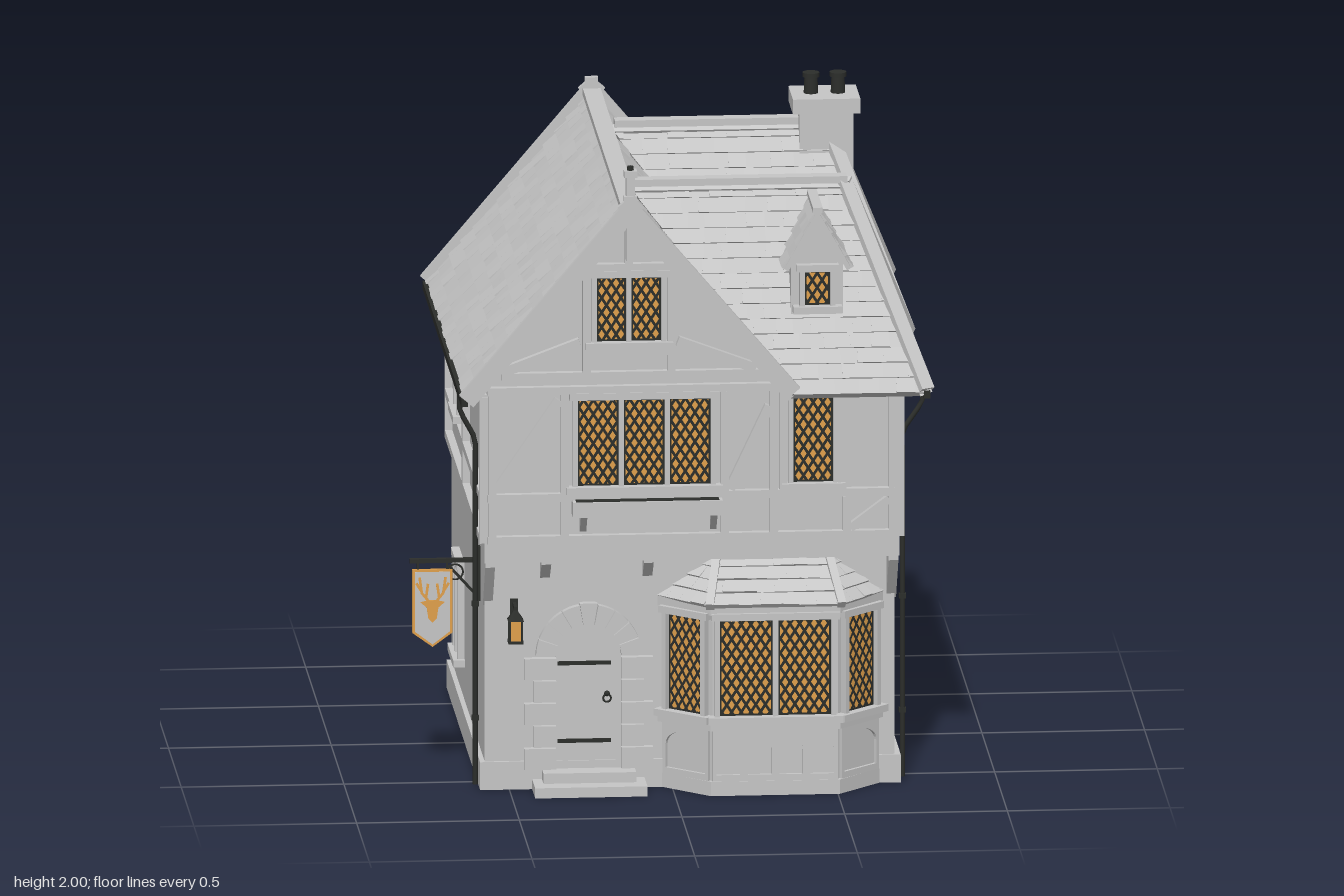
import * as THREE from 'three';
import { mergeGeometries } from 'three/addons/utils/BufferGeometryUtils.js';
import { ConvexGeometry } from 'three/addons/geometries/ConvexGeometry.js';

const mat = (name, color) => Object.assign(new THREE.MeshStandardMaterial({ color }), { name });
const V = (x, y, z) => new THREE.Vector3(x, y, z);
let seed = 7;
const rnd = () => (seed = (seed * 16807) % 2147483647) / 2147483647;

export function createModel() {
  const stone = mat('pale stone', 0xc6c6c6), iron = mat('dark iron', 0x2c2e2b), amber = mat('amber glass', 0xe0a04c);
  const root = new THREE.Group();
  root.name = 'house';

  // ---- helpers ----
  const add = (p, name, geo, m = stone, x = 0, y = 0, z = 0) => {
    const o = new THREE.Mesh(geo, m);
    o.name = name; o.position.set(x, y, z); p.add(o);
    return o;
  };
  const box = (p, name, x0, x1, y0, y1, z0, z1, m) =>
    add(p, name, new THREE.BoxGeometry(x1 - x0, y1 - y0, z1 - z0), m, (x0 + x1) / 2, (y0 + y1) / 2, (z0 + z1) / 2);
  // straight bar between two points
  const bar = (p, name, a, b, w, h, m) => {
    const o = new THREE.Mesh(new THREE.BoxGeometry(w, h, a.distanceTo(b)), m || stone);
    o.name = name; o.position.copy(a).lerp(b, 0.5); o.lookAt(b); p.add(o);
  };
  const poly = pts => new THREE.Shape(pts.map(q => new THREE.Vector2(...q)));
  const ext = (s, depth) => new THREE.ExtrudeGeometry(s, { depth, bevelEnabled: false, curveSegments: 8 });
  // plan outline given in x,z and raised from y0 to y1
  const raise = (p, name, pts, y0, y1, hole) => {
    const s = poly(pts.map(([x, z]) => [x, -z]));
    if (hole) s.holes.push(poly(hole.map(([x, z]) => [x, -z])));
    return add(p, name, ext(s, y1 - y0).rotateX(-Math.PI / 2), stone, 0, y0, 0);
  };
  const rect = (x0, x1, z0, z1) => [[x0, z1], [x1, z1], [x1, z0], [x0, z0]];
  const face = (name, x, z, ry) => {
    const g = new THREE.Group();
    g.name = name; g.position.set(x, 0, z); g.rotation.y = ry; root.add(g);
    return g;
  };
  // timber drawn on a wall face
  const timbers = (wall, list) => list.forEach(([x0, y0, x1, y1, w = 0.025]) =>
    bar(wall, 'timber', V(x0, y0, 0.008), V(x1, y1, 0.008), x0 === x1 ? w : 0.03, x0 === x1 ? 0.03 : w));

  // leaded lattice clipped to a w by h light
  const lattice = (w, h) => {
    const out = [], m = 1.55, step = 0.046;
    for (const s of [1, -1]) for (let c = -h / 2 - m * w / 2 + step / 2; c < h / 2 + m * w / 2; c += step) {
      const xs = [(-h / 2 - c) / (s * m), (h / 2 - c) / (s * m)].sort((a, b) => a - b);
      const a = Math.max(-w / 2, xs[0]), b = Math.min(w / 2, xs[1]);
      if (b - a < 0.004) continue;
      out.push(new THREE.PlaneGeometry((b - a) * Math.hypot(1, m), 0.0085)
        .rotateZ(Math.atan(s * m)).translate((a + b) / 2, c + s * m * (a + b) / 2, 0));
    }
    for (const s of [1, -1]) {
      out.push(new THREE.PlaneGeometry(0.006, h).translate(s * (w / 2 - 0.003), 0, 0));
      out.push(new THREE.PlaneGeometry(w, 0.006).translate(0, s * (h / 2 - 0.003), 0));
    }
    return mergeGeometries(out);
  };
  const windowAt = (wall, u, y0, y1, w, lights) => {
    const g = new THREE.Group(), f = 0.016, h = y1 - y0, lw = (w - f) / lights;
    g.name = 'window'; g.position.set(u, (y0 + y1) / 2, 0); wall.add(g);
    box(g, 'pane', -w / 2 + f, w / 2 - f, -h / 2 + f, h / 2 - f, -0.065, 0.003, amber);
    for (let i = 0; i <= lights; i++) {
      const x = -w / 2 + f / 2 + i * lw;
      box(g, 'mullion', x - f / 2, x + f / 2, -h / 2, h / 2, -0.005, 0.022);
      if (i < lights) add(g, 'lattice', lattice(lw - f, h - 2 * f), iron, x + lw / 2, 0, 0.006);
    }
    box(g, 'lintel', -w / 2 - 0.01, w / 2 + 0.01, h / 2 - f, h / 2 + 0.006, -0.005, 0.026);
    box(g, 'sill', -w / 2 - 0.02, w / 2 + 0.02, -h / 2 - 0.006, -h / 2 + f, -0.005, 0.036);
  };

  // tiled roof plane: eave left, eave right, top right, top left, seen from outside
  const slope = (name, A, B, C, D, rows, tw = 0.065, slab = 0.03) => {
    const e = B.clone().sub(A).normalize(), n = e.clone().cross(D.clone().sub(A)).normalize(), pos = [];
    const lo = v => D.clone().sub(A).dot(e) * v, hi = v => B.clone().lerp(C, v).sub(A).dot(e);
    const pt = (s, v, k) => A.clone().lerp(D, v)
      .addScaledVector(e, Math.min(Math.max(s, lo(v)), hi(v)) - lo(v)).addScaledVector(n, k);
    for (let i = 0; i < rows; i++) {
      const v0 = i / rows, v1 = (i + 1) / rows, end = Math.max(hi(v0), hi(v1));
      for (let a = Math.min(lo(v0), lo(v1)) - tw * (i % 2 ? 0.5 : 0.1), b; a < end; a = b) {
        b = a + tw * (0.75 + rnd() * 0.5);
        const k = 0.004 + rnd() * 0.007;
        const p = [pt(a, v0, 0), pt(b, v0, 0), pt(b, v0, k), pt(a, v0, k), pt(b, v1, 0.002), pt(a, v1, 0.002)];
        if (p[0].distanceTo(p[1]) + p[4].distanceTo(p[5]) < 1e-4) continue;
        for (const j of [0, 1, 2, 0, 2, 3, 3, 2, 4, 3, 4, 5, 0, 3, 5, 1, 4, 2]) pos.push(p[j].x, p[j].y, p[j].z);
      }
    }
    const g = new THREE.BufferGeometry();
    g.setAttribute('position', new THREE.Float32BufferAttribute(pos, 3));
    g.computeVertexNormals();
    add(root, name + 'Tiles', g);
    add(root, name + 'Slab', new ConvexGeometry([A, B, C, D].flatMap(q => [q, q.clone().addScaledVector(n, -slab)])));
  };

  // ---- walls, open underneath ----
  const L = -0.575, R = 0.685, Bk = -0.695, F = 0.6, J = 0.69;
  raise(root, 'groundFloorWalls', rect(L, R, Bk, F), 0, 0.8, rect(L + 0.06, R - 0.06, Bk + 0.06, F - 0.06));
  raise(root, 'plinth', rect(L - 0.015, R + 0.018, Bk - 0.015, F + 0.01), 0, 0.088, rect(L + 0.055, R - 0.055, Bk + 0.055, F - 0.055));
  box(root, 'upperFloorWalls', L, R, 0.79, 1.29, Bk, J);
  box(root, 'jettyBeam', L - 0.008, R + 0.008, 0.735, 0.8, 0.59, J);
  add(root, 'gableWalls', ext(poly([[L, 1.27], [L, 1.31], [-0.14, 1.81], [0.3, 1.29], [0.3, 1.27]]), J - Bk), stone, 0, 0, Bk);

  const front = face('frontTimbering', 0, J, 0), low = face('frontGroundFloor', 0, F, 0);
  const right = face('rightSide', R, 0, Math.PI / 2), back = face('backSide', 0, Bk, Math.PI), left = face('leftSide', L, 0, -Math.PI / 2);

  // ---- half-timbering ----
  timbers(front, [[L, 0.81, R, 0.81], [L, 0.943, R, 0.943], [L, 1.28, R, 1.28], [-0.53, 1.325, 0.26, 1.325],
    [-0.56, 0.8, -0.56, 1.27], [0.672, 0.8, 0.672, 1.27], [-0.337, 0.8, -0.337, 1.27], [0.155, 0.8, 0.155, 1.27],
    [0.305, 0.8, 0.305, 1.27], [0.335, 0.95, 0.335, 1.27], [0.515, 0.95, 0.515, 1.27],
    [-0.545, 0.97, -0.355, 1.25, 0.03], [0.17, 0.96, 0.292, 1.22, 0.03], [0.54, 0.83, 0.66, 0.92], [0.53, 0.82, 0.53, 0.93],
    [-0.27, 1.33, -0.27, 1.66], [-0.01, 1.33, -0.01, 1.66], [-0.29, 1.665, 0.01, 1.665], [-0.27, 1.4, -0.01, 1.4],
    [-0.14, 1.67, -0.14, 1.8], [-0.53, 1.34, -0.29, 1.43, 0.03], [0.25, 1.34, 0.01, 1.43, 0.03]]);
  const side = [[-0.69, 0.81, 0.69, 0.81], [-0.69, 0.943, 0.69, 0.943], [-0.69, 1.255, 0.69, 1.255],
    [0, 0.8, 0, 1.26], [-0.68, 0.8, -0.68, 1.26], [0.68, 0.8, 0.68, 1.26]];
  timbers(right, side);
  timbers(left, side);
  timbers(back, [[-R, 0.81, -L, 0.81], [-R, 0.943, -L, 0.943], [-R, 1.265, -L, 1.265], [-0.672, 0.8, -0.672, 1.27],
    [0.56, 0.8, 0.56, 1.27], [-0.05, 0.8, -0.05, 1.27], [0.14, 1.27, 0.14, 1.8]]);

  // ---- windows ----
  windowAt(front, -0.0925, 0.96, 1.265, 0.44, 3);
  windowAt(front, 0.427, 0.96, 1.26, 0.155, 1);
  windowAt(front, -0.14, 1.415, 1.65, 0.23, 2);
  windowAt(right, -0.29, 0.965, 1.235, 0.16, 1);
  windowAt(left, -0.29, 0.965, 1.235, 0.16, 1);
  windowAt(right, 0.272, 0.2, 0.515, 0.19, 2);
  windowAt(left, -0.29, 0.2, 0.515, 0.19, 2);
  for (const u of [-0.49, 0.31]) windowAt(back, u, 0.965, 1.235, 0.16, 1);
  for (const u of [-0.42, 0.3]) windowAt(back, u, 0.2, 0.515, 0.19, 2);

  // ---- planter under the wide window, jetty corbels ----
  box(front, 'planter', -0.315, 0.145, 0.888, 0.935, 0, 0.06);
  box(front, 'planterSoil', -0.305, 0.135, 0.93, 0.937, 0.022, 0.053, iron);
  for (const x of [-0.29, 0.11]) add(front, 'planterBracket',
    new ConvexGeometry([x, x + 0.02].flatMap(q => [V(q, 0.83, 0), V(q, 0.89, 0), V(q, 0.89, 0.05)])));
  const corbel = (x, w, y0, y1, d) => add(low, 'corbel', new ConvexGeometry(
    [x - w / 2, x + w / 2].flatMap(q => [V(q, y0, -0.01), V(q, y1, -0.01), V(q, y1, d), V(q, y1 - 0.02, d)])));
  for (const x of [-0.39, -0.075]) corbel(x, 0.03, 0.655, 0.74, 0.06);
  for (const x of [-0.565, 0.675]) corbel(x, 0.03, 0.58, 0.74, 0.085);

  // ---- main roof, two hipped cross roofs ----
  const E = 1.265, H = 1.858, Z = 0.76;
  slope('mainLeftRoof', V(-0.645, E, -Z), V(-0.645, E, Z), V(-0.14, H, Z), V(-0.14, H, -Z), 14);
  slope('mainRightRoof', V(0.365, E, Z), V(0.365, E, -Z), V(-0.14, H, -Z), V(-0.14, H, Z), 14);
  bar(root, 'mainRidge', V(-0.14, H + 0.001, -0.77), V(-0.14, H + 0.001, 0.77), 0.055, 0.022);
  for (const c of [0.38, -0.38]) {
    const T = 1.848, a = c + 0.38, b = c - 0.38;
    slope('crossFrontRoof', V(0.35, E, a), V(0.78, E, a), V(0.545, T, c), V(-0.12, T, c), 14);
    slope('crossBackRoof', V(0.78, E, b), V(0.35, E, b), V(-0.12, T, c), V(0.545, T, c), 14);
    slope('hipRoof', V(0.78, E, a), V(0.78, E, b), V(0.545, T, c - 0.003), V(0.545, T, c + 0.003), 14);
    bar(root, 'crossRidge', V(-0.1, T + 0.006, c), V(0.555, T + 0.006, c), 0.045, 0.022);
    for (const z of [a, b]) bar(root, 'hipCap', V(0.545, T + 0.006, c), V(0.772, E + 0.01, z), 0.045, 0.02);
  }
  for (const z of [0.766, -0.766]) {
    bar(root, 'bargeBoard', V(-0.12, 1.888, z), V(-0.645, 1.268, z), 0.018, 0.055);
    bar(root, 'bargeBoard', V(-0.16, 1.888, z), V(0.36, 1.273, z), 0.018, 0.055);
    box(root, 'apexBlock', -0.16, -0.12, 1.85, 1.905, z - 0.01, z + 0.01);
  }
  box(root, 'finial', -0.153, -0.127, 1.7, 1.985, 0.745, 0.771);
  box(root, 'finialCap', -0.16, -0.12, 1.965, 1.985, 0.738, 0.778);
  add(root, 'finialTip', new THREE.CylinderGeometry(0.009, 0.012, 0.02, 8), iron, -0.14, 1.988, 0.758);

  // ---- dormer ----
  add(root, 'dormerWall', ext(poly([[0.365, 1.45], [0.525, 1.45], [0.525, 1.65], [0.445, 1.785], [0.365, 1.65]]), 0.22), stone, 0, 0, 0.4);
  windowAt(face('dormerFront', 0.445, 0.62, 0), 0, 1.5, 1.64, 0.11, 1);
  slope('dormerRightRoof', V(0.548, 1.635, 0.645), V(0.548, 1.635, 0.52), V(0.445, 1.818, 0.4), V(0.445, 1.818, 0.645), 5, 0.05, 0.015);
  slope('dormerLeftRoof', V(0.342, 1.635, 0.52), V(0.342, 1.635, 0.645), V(0.445, 1.818, 0.645), V(0.445, 1.818, 0.4), 5, 0.05, 0.015);
  bar(root, 'dormerRidge', V(0.445, 1.82, 0.41), V(0.445, 1.82, 0.65), 0.03, 0.016);

  // ---- chimney ----
  box(root, 'chimneyStack', 0.465, 0.63, 1.3, 1.89, -0.465, -0.32);
  box(root, 'chimneyCap', 0.443, 0.65, 1.888, 1.935, -0.48, -0.3);
  for (const x of [0.505, 0.588]) {
    add(root, 'chimneyPot', new THREE.CylinderGeometry(0.02, 0.023, 0.07, 14), iron, x, 1.96, -0.388);
    add(root, 'potRim', new THREE.CylinderGeometry(0.026, 0.026, 0.014, 14), iron, x, 1.993, -0.388);
  }

  // ---- gutters and downpipes ----
  for (const [x, w] of [[0.772, 0.711], [-0.65, -0.602]]) {
    bar(root, 'gutter', V(x, 1.26, -0.765), V(x, 1.26, 0.765), 0.02, 0.024, iron);
    const path = new THREE.CatmullRomCurve3([V(x, 1.26, 0.57), V(x, 1.19, 0.57), V(w, 1.1, 0.57), V(w, 1.0, 0.57), V(w, 0.01, 0.57)], false, 'catmullrom', 0.1);
    add(root, 'downpipe', new THREE.TubeGeometry(path, 40, 0.008, 8), iron);
    for (const y of [0.22, 0.58]) box(root, 'pipeClip', w - 0.011, w + 0.011, y - 0.007, y + 0.007, 0.559, 0.581, iron);
  }

  // ---- bay window ----
  const plan = (o = 0) => [[-0.03 - o, 0.58], [-0.03 - o, 0.6], [0.115 - o * 0.5, 0.73 + o], [0.5 + o * 0.5, 0.73 + o], [0.635 + o, 0.6], [0.635 + o, 0.58]];
  raise(root, 'bayBody', plan(), 0, 0.6);
  raise(root, 'bayPlinth', plan(0.012), 0, 0.045);
  raise(root, 'baySill', plan(0.014), 0.205, 0.235);
  raise(root, 'bayCornice', plan(0.014), 0.57, 0.605);
  // panel with pointed arch openings
  const arches = (wall, w, count) => {
    const s = poly([[-w / 2, 0.045], [w / 2, 0.045], [w / 2, 0.205], [-w / 2, 0.205]]), c = w / count;
    for (let i = 0; i < count; i++) {
      const h = new THREE.Path(), x = -w / 2 + c * (i + 0.5), r = c / 2 - 0.012;
      h.moveTo(x - r, 0.065).lineTo(x + r, 0.065).lineTo(x + r, 0.14);
      h.quadraticCurveTo(x + r, 0.175, x, 0.192).quadraticCurveTo(x - r, 0.175, x - r, 0.14);
      s.holes.push(h);
    }
    add(wall, 'archPanel', ext(s, 0.01));
  };
  const bays = [['bayFront', 0.3075, 0.73, 0, 0.385, 2, 4], ['bayLeftFace', 0.5675, 0.665, 0.766, 0.17, 1, 1], ['bayRightFace', 0.0425, 0.665, -0.731, 0.175, 1, 1]];
  for (const [name, x, z, ry, w, lights, n] of bays) {
    const g = face(name, x, z, ry);
    windowAt(g, 0, 0.235, 0.57, w - 0.01, lights);
    arches(g, w, n);
  }
  const e = [V(-0.05, 0.6, 0.59), V(0.105, 0.6, 0.757), V(0.51, 0.6, 0.757), V(0.655, 0.6, 0.59)], t = [V(0.14, 0.725, 0.59), V(0.48, 0.725, 0.59)];
  add(root, 'bayRoofCore', new ConvexGeometry([...e, ...t]));
  slope('bayFrontRoof', e[1], e[2], t[1], t[0], 4, 0.055, 0.006);
  slope('bayLeftRoof', e[2], e[3], t[1].clone().add(V(0.003, 0, 0)), t[1], 4, 0.055, 0.006);
  slope('bayRightRoof', e[0], e[1], t[0], t[0].clone().add(V(-0.003, 0, 0)), 4, 0.055, 0.006);
  bar(root, 'bayHipCap', e[1], t[0], 0.025, 0.025);
  bar(root, 'bayHipCap', e[2], t[1], 0.025, 0.025);
  box(root, 'bayFlashing', 0.13, 0.49, 0.712, 0.732, 0.59, 0.612);

  // ---- door, stone surround and steps ----
  const dx = -0.257, r0 = 0.1, r1 = 0.162, sp = 0.42;
  const door = poly([[dx - r0, 0.03], [dx + r0, 0.03], [dx + r0, sp]]);
  door.absarc(dx, sp, r0, 0, Math.PI, false);
  add(low, 'door', ext(door, 0.075), stone, 0, 0, -0.07);
  for (const y of [0.15, 0.395]) box(low, 'doorStrap', dx - 0.095, dx + 0.07, y - 0.006, y + 0.006, 0.004, 0.01, iron);
  add(low, 'doorKnob', new THREE.SphereGeometry(0.009, 10, 8), iron, -0.2, 0.298, 0.01);
  add(low, 'doorRing', new THREE.TorusGeometry(0.012, 0.003, 6, 14), iron, -0.2, 0.284, 0.012);
  for (let i = 0; i < 9; i++) {
    const a = i * Math.PI / 9 + 0.01, b = (i + 1) * Math.PI / 9 - 0.01, s = new THREE.Shape();
    s.absarc(dx, sp, i === 4 ? r1 + 0.005 : r1, a, b, false).absarc(dx, sp, r0, b, a, true);
    add(low, 'archStone', ext(s, 0.025));
  }
  for (let i = 0; i < 5; i++) for (const s of [-1, 1]) {
    const x = dx + s * r0, o = dx + s * (i % 2 ? 0.17 : 0.198);
    box(low, 'quoin', Math.min(x, o), Math.max(x, o), 0.063 + i * 0.071, 0.13 + i * 0.071, -0.01, 0.025);
  }
  box(low, 'lowerStep', -0.43, -0.085, 0, 0.032, 0, 0.13);
  box(low, 'upperStep', -0.4, -0.115, 0.03, 0.064, 0, 0.075);

  // ---- lantern ----
  const lamp = face('lantern', -0.485, 0.66, 0);
  box(lamp, 'lampGlass', -0.019, 0.019, 0.482, 0.548, -0.019, 0.019, amber);
  for (const x of [-0.019, 0.019]) for (const z of [-0.019, 0.019]) box(lamp, 'lampPost', x - 0.003, x + 0.003, 0.478, 0.55, z - 0.003, z + 0.003, iron);
  box(lamp, 'lampBase', -0.023, 0.023, 0.476, 0.484, -0.023, 0.023, iron);
  add(lamp, 'lampCap', new THREE.CylinderGeometry(0.008, 0.034, 0.03, 4).rotateY(Math.PI / 4), iron, 0, 0.562, 0);
  bar(lamp, 'lampArm', V(0, 0.585, -0.065), V(0, 0.585, 0.008), 0.01, 0.012, iron);
  box(lamp, 'lampPlate', -0.012, 0.012, 0.54, 0.6, -0.065, -0.055, iron);

  // ---- hanging sign ----
  const sign = face('hangingSign', -0.722, 0.425, 0);
  const shield = k => poly([[-0.062 + k, 0.655 - k], [-0.062 + k, 0.455 + k * 0.5], [0, 0.41 + k], [0.062 - k, 0.455 + k * 0.5], [0.062 - k, 0.655 - k]]);
  add(sign, 'signBorder', ext(shield(0), 0.008), amber, 0, 0, -0.004);
  add(sign, 'signField', ext(shield(0.008), 0.01), stone, 0, 0, -0.005);
  add(sign, 'deerHead', ext(poly([[0, 0.487], [0.013, 0.5], [0.018, 0.535], [0.038, 0.552], [0.014, 0.558], [-0.014, 0.558], [-0.038, 0.552], [-0.018, 0.535], [-0.013, 0.5]]), 0.013), amber, 0, 0, -0.0065);
  for (const s of [-1, 1]) for (const [a, b, c, d] of [[0.008, 0.55, 0.034, 0.582], [0.033, 0.58, 0.04, 0.63], [0.02, 0.567, 0.014, 0.61], [0.033, 0.585, 0.05, 0.612]])
    bar(sign, 'antler', V(s * a, b, 0), V(s * c, d, 0), 0.013, 0.008, amber);
  bar(sign, 'signArm', V(-0.07, 0.682, 0), V(0.147, 0.682, 0), 0.015, 0.013, iron);
  bar(sign, 'signBrace', V(0.05, 0.665, 0), V(0.14, 0.565, 0), 0.008, 0.008, iron);
  add(sign, 'signScroll', new THREE.TorusGeometry(0.024, 0.003, 6, 18), iron, 0.07, 0.645, 0);
  box(sign, 'signPlate', 0.13, 0.147, 0.555, 0.725, -0.015, 0.015, iron);
  for (const x of [-0.045, 0.045]) box(sign, 'signLink', x - 0.003, x + 0.003, 0.65, 0.682, -0.003, 0.003, iron);

  return root;
}
